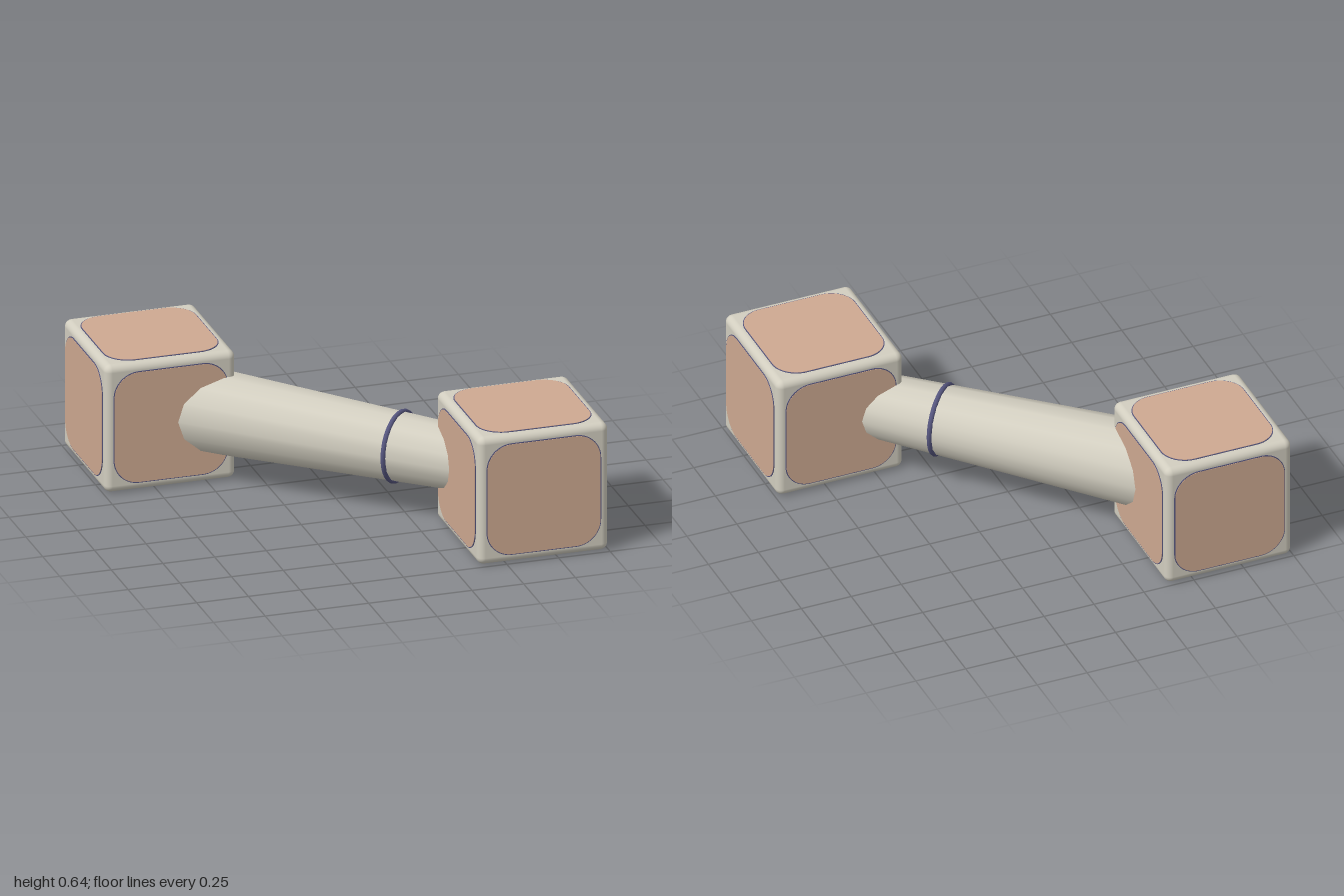
import * as THREE from 'three';
import { RoundedBoxGeometry } from 'three/addons/geometries/RoundedBoxGeometry.js';

const shell = new THREE.MeshStandardMaterial({ name: 'warm grey', color: 0xd2cec0 });
const tan = new THREE.MeshStandardMaterial({ name: 'tan', color: 0xcea991 });
const trim = new THREE.MeshStandardMaterial({ name: 'slate blue', color: 0x56567f });

const CENTRE = 0.68;   // distance of each cube from the middle along x and z
const HEIGHT = 0.322;  // height of the cube centres

function add(parent, name, geometry, material) {
  const mesh = new THREE.Mesh(geometry, material);
  mesh.name = name;
  parent.add(mesh);
  return mesh;
}

// Rounded square plate facing +z, between two depths
function plate(half, radius, z0, z1) {
  const s = new THREE.Shape();
  const c = half - radius;
  s.absarc(c, c, radius, 0, Math.PI / 2);
  s.absarc(-c, c, radius, Math.PI / 2, Math.PI);
  s.absarc(-c, -c, radius, Math.PI, Math.PI * 1.5);
  s.absarc(c, -c, radius, Math.PI * 1.5, Math.PI * 2);
  const g = new THREE.ExtrudeGeometry(s, { depth: z1 - z0, bevelEnabled: false, curveSegments: 8 });
  return g.translate(0, 0, z0);
}

// Cube with an edged panel on each of its six faces
function createCube(name) {
  const cube = new THREE.Group();
  cube.name = name;
  add(cube, 'cubeShell', new RoundedBoxGeometry(0.632, 0.632, 0.632, 4, 0.035), shell);
  const edge = plate(0.277, 0.122, 0.312, 0.319);
  const panel = plate(0.273, 0.118, 0.314, 0.3205);
  const turns = [[0, 0], [0, 1], [0, 2], [0, 3], [1, 0], [-1, 0]];
  for (const [rx, ry] of turns) {
    const face = new THREE.Group();
    face.name = 'facePanel';
    face.rotation.set(rx * Math.PI / 2, ry * Math.PI / 2, 0);
    add(face, 'panelEdge', edge, trim);
    add(face, 'panel', panel, tan);
    cube.add(face);
  }
  return cube;
}

export function createModel() {
  const model = new THREE.Group();
  model.name = 'linkedCubes';

  // The two end cubes
  for (const [name, side] of [['frontCube', 1], ['backCube', -1]]) {
    const cube = createCube(name);
    cube.position.set(side * CENTRE, HEIGHT, side * CENTRE);
    model.add(cube);
  }

  // Tapered connecting arm along the diagonal, narrow at the front
  const arm = new THREE.Group();
  arm.name = 'arm';
  arm.position.y = HEIGHT;
  arm.rotation.y = Math.PI / 4;
  model.add(arm);
  const length = CENTRE * 2 * Math.SQRT2;
  const tube = new THREE.CylinderGeometry(0.142, 0.212, length, 14, 1, false, Math.PI / 2);
  add(arm, 'armTube', tube.rotateX(Math.PI / 2), shell);

  // Collar ring around the arm
  const ring = add(arm, 'collarRing', new THREE.TorusGeometry(0.164, 0.012, 8, 28), trim);
  ring.position.z = 0.23 * Math.SQRT2;

  return model;
}
